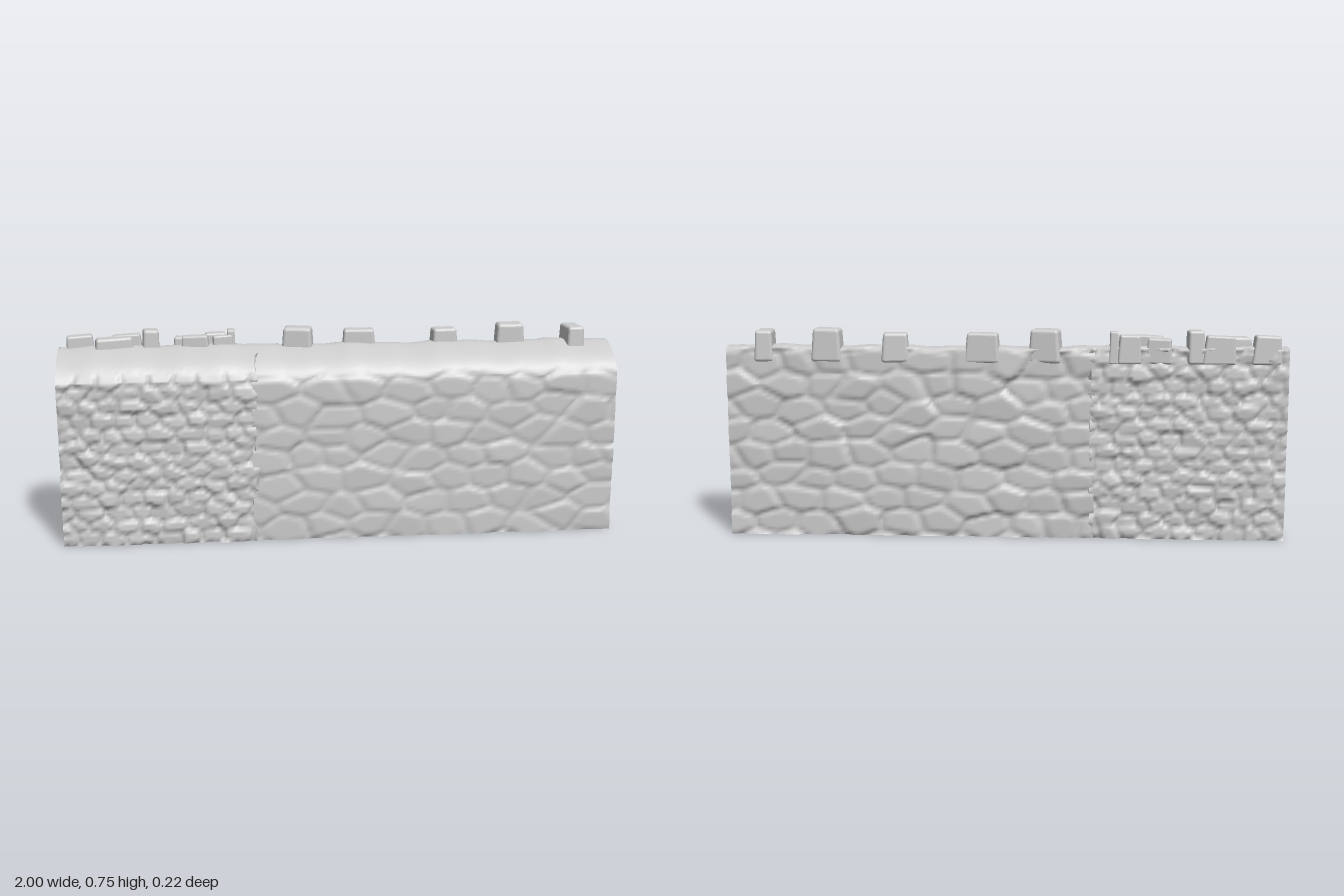
import * as THREE from 'three';
import { RoundedBoxGeometry } from 'three/addons/geometries/RoundedBoxGeometry.js';

const material = new THREE.MeshStandardMaterial({ color: 0xcccccc });

// Repeatable pseudo-random value for a grid cell
function hash(i, j, k) {
  const s = Math.sin(i * 127.1 + j * 311.7 + k * 74.7) * 43758.5453;
  return s - Math.floor(s);
}

// Height of a rubble stone face: jittered cells with individual depth, tilt and sunken joints
function relief(x, y, w, h, seed) {
  const u = x / w, v = y / h;
  const j0 = Math.floor(v);
  let f1 = 9, f2 = 9, depth = 0;
  for (let j = j0 - 1; j <= j0 + 1; j++) {
    const shift = (j & 1) * 0.5;
    const i0 = Math.floor(u - shift);
    for (let i = i0 - 1; i <= i0 + 1; i++) {
      const du = u - (i + shift + 0.2 + 0.6 * hash(i, j, seed));
      const dv = v - (j + 0.25 + 0.5 * hash(i, j, seed + 1));
      const d = Math.hypot(du, dv);
      if (d < f1) {
        f2 = f1;
        f1 = d;
        depth = (hash(i, j, seed + 2) - 0.5) * 0.8
          + du * (hash(i, j, seed + 3) - 0.5) * 0.9
          + dv * (hash(i, j, seed + 4) - 0.5) * 1.2;
      } else if (d < f2) f2 = d;
    }
  }
  const joint = 1 - THREE.MathUtils.smoothstep(f2 - f1, 0, 0.3);
  return depth - joint * 0.7;
}

// Wall outline as [z, y, relief weight], from front foot over the rounded top to back foot
function outline() {
  const pts = [];
  for (let i = 0; i < 56; i++) pts.push([0.103, 0.59 * i / 56, 1]);
  const crown = new THREE.SplineCurve([
    [0.103, 0.59], [0.087, 0.622], [0.05, 0.655], [0, 0.68], [-0.05, 0.694], [-0.104, 0.688],
  ].map(p => new THREE.Vector2(...p)));
  crown.getPoints(18).forEach((p, i) => pts.push([p.x, p.y, i < 9 ? Math.max(0, 1 - i / 5) : Math.max(0, (i - 15) / 3)]));
  for (let i = 1; i <= 64; i++) pts.push([-0.104, 0.688 * (1 - i / 64), 1]);
  return pts;
}

// One stretch of wall: relief skin, flat underside and flat ends
function wallSection(name, { x0, x1, steps, w, h, front, back, seed, raise, ragged }) {
  const base = outline(), n = base.length;
  const pos = [], index = [];
  const point = (s, k) => {
    const [z, y, weight] = base[k];
    let x = x0 + (x1 - x0) * s / steps;
    const isFront = k < n / 2;
    const r = relief(x, y, w, h, seed + (isFront ? 0 : 20));
    const amount = weight * r * (isFront ? front : back);
    const wave = y > 0.6 ? 0.0025 * Math.sin(x * 17 + seed) + 0.0015 * Math.sin(x * 41) : 0;
    // uneven stone ends along the joint between sections
    if (s === steps) x += ragged * (hash(Math.floor(y / h), isFront ? 1 : 2, seed) - 0.5);
    const dz = THREE.MathUtils.clamp(amount, -0.02, 0.008);
    return [x, y + (y > 0.55 ? raise : 0) + wave, z + (isFront ? dz + raise * 0.5 : -dz)];
  };
  const rings = [];
  for (let s = 0; s <= steps; s++) {
    const ring = [];
    for (let k = 0; k < n; k++) {
      ring.push(point(s, k));
      pos.push(...ring[k]);
    }
    rings.push(ring);
  }
  for (let s = 0; s < steps; s++) {
    for (let k = 0; k < n - 1; k++) {
      const a = s * n + k, b = a + n;
      index.push(a, b, b + 1, a, b + 1, a + 1);
    }
  }
  // underside has its own corners so its edge stays sharp
  const foot = pos.length / 3;
  rings.forEach(r => pos.push(...r[0], ...r[n - 1]));
  for (let s = 0; s < steps; s++) {
    const a = foot + s * 2;
    index.push(a, a + 1, a + 3, a, a + 3, a + 2);
  }
  // end faces
  [[rings[0], -1], [rings[steps], 1]].forEach(([ring, side]) => {
    const start = pos.length / 3;
    ring.forEach(p => pos.push(...p));
    const flat = ring.map(p => new THREE.Vector2(p[2], p[1]));
    for (const [a, b, c] of THREE.ShapeUtils.triangulateShape(flat, [])) {
      const [A, B, C] = [flat[a], flat[b], flat[c]];
      const area = (B.x - A.x) * (C.y - A.y) - (B.y - A.y) * (C.x - A.x);
      // positive area in (z, y) faces -x
      if (area * side < 0) index.push(start + a, start + b, start + c);
      else index.push(start + a, start + c, start + b);
    }
  });
  const geometry = new THREE.BufferGeometry();
  geometry.setAttribute('position', new THREE.Float32BufferAttribute(pos, 3));
  geometry.setIndex(index);
  geometry.computeVertexNormals();
  const mesh = new THREE.Mesh(geometry, material);
  mesh.name = name;
  return mesh;
}

// Worn coping stone: a rounded block, narrowed upwards and slightly skewed
function copingStone([xa, xb, za, zb, top, turn], i) {
  const low = 0.635, h = top - low, w = xb - xa, d = zb - za;
  const geometry = new RoundedBoxGeometry(w, h, d, 3, Math.min(w, d) * 0.17);
  const p = geometry.attributes.position;
  const skew = hash(i, 3, 5) - 0.5;
  for (let k = 0; k < p.count; k++) {
    const x = p.getX(k), y = p.getY(k), z = p.getZ(k), t = y / h + 0.5;
    p.setXYZ(k, x * (1.06 - 0.16 * t) + skew * 0.012 * t, y - Math.max(0, x * skew) * 0.2 * t, z * (1.03 - 0.08 * t));
  }
  geometry.computeVertexNormals();
  const mesh = new THREE.Mesh(geometry, material);
  mesh.name = 'copingStone' + (i + 1);
  mesh.position.set((xa + xb) / 2, low + h / 2, (za + zb) / 2);
  mesh.rotation.y = turn;
  return mesh;
}

export function createModel() {
  const wall = new THREE.Group();
  wall.name = 'stoneWall';

  wall.add(wallSection('coarseWall', {
    x0: -0.32, x1: 1, steps: 120, w: 0.15, h: 0.085, front: 0.008, back: 0.011, seed: 7, raise: -0.002, ragged: 0,
  }));
  wall.add(wallSection('fineWall', {
    x0: -1, x1: -0.305, steps: 96, w: 0.085, h: 0.048, front: 0.012, back: 0.012, seed: 3, raise: 0.003, ragged: 0.024,
  }));

  // Coping stones: x from/to, z from/to, top height, turn
  const coping = new THREE.Group();
  coping.name = 'copingStones';
  [
    [-0.97, -0.87, -0.105, -0.055, 0.738, 0.08],
    [-0.87, -0.73, -0.085, -0.025, 0.732, 0.15],
    [-0.81, -0.7, -0.108, -0.065, 0.737, 0],
    [-0.705, -0.645, -0.106, -0.04, 0.754, 0.1],
    [-0.59, -0.5, -0.104, -0.055, 0.726, -0.1],
    [-0.56, -0.46, -0.075, -0.03, 0.734, -0.12],
    [-0.48, -0.4, -0.107, -0.06, 0.737, 0.06],
    [-0.45, -0.375, -0.08, -0.04, 0.732, 0.1],
    [-0.4, -0.37, -0.107, -0.05, 0.748, 0],
    [-0.2, -0.09, -0.104, -0.03, 0.755, -0.18],
    [0.02, 0.14, -0.108, -0.05, 0.742, -0.06],
    [0.345, 0.44, -0.108, -0.045, 0.74, 0.1],
    [0.585, 0.69, -0.108, -0.035, 0.755, -0.05],
    [0.835, 0.9, -0.106, 0.003, 0.746, 0.08],
  ].forEach((s, i) => coping.add(copingStone(s, i)));
  wall.add(coping);

  return wall;
}
